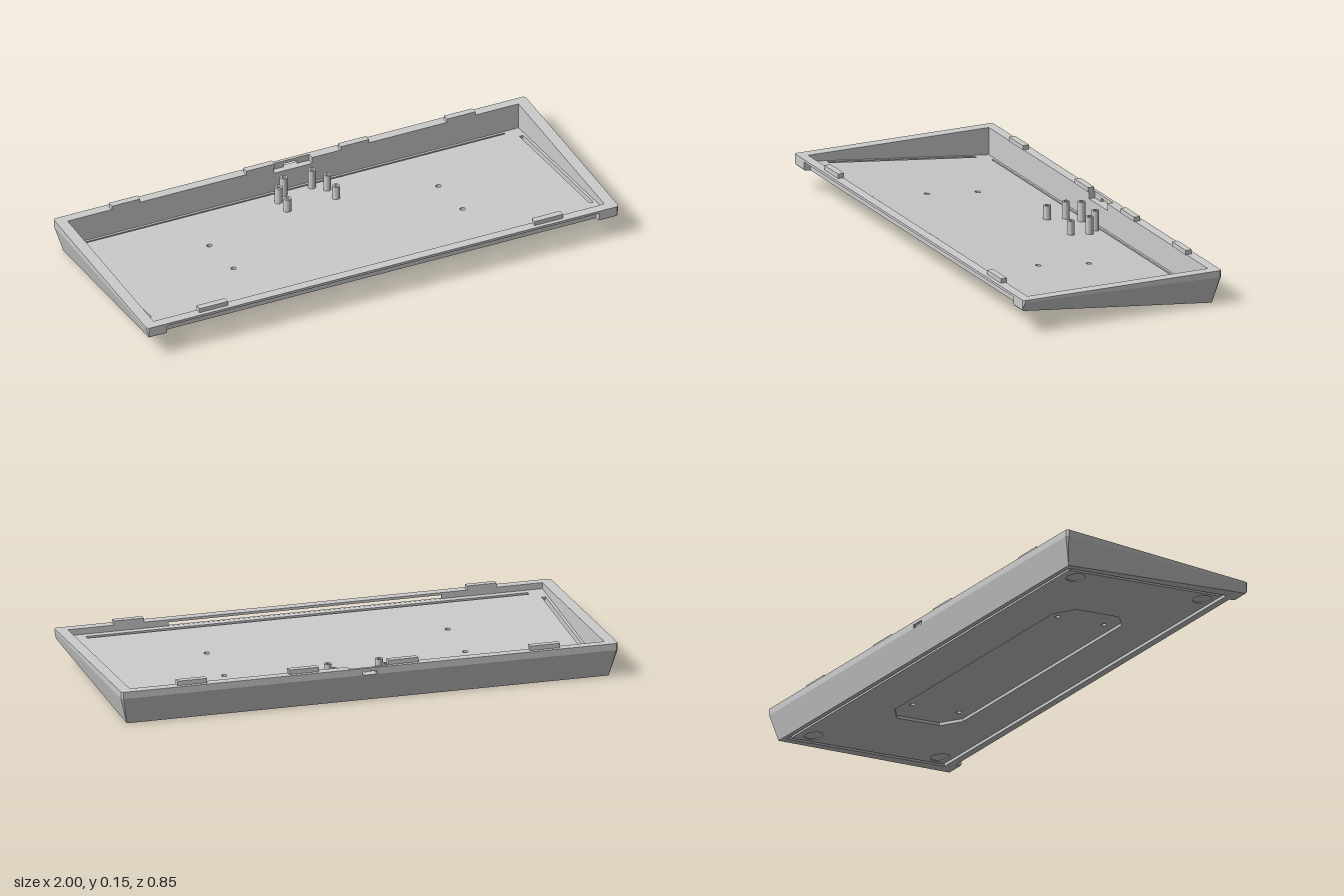
import * as THREE from 'three';
import { ConvexGeometry } from 'three/addons/geometries/ConvexGeometry.js';

const TOP = 0.135, IN_X = 0.955, IN_Z = 0.385, OUT_Z = 0.423, LAYER = 0.012;
const SLOPE = 0.111;
const under = (z) => SLOPE * (z + 0.395); // height of the sloping underside

export function createModel() {
  const model = new THREE.Group();
  const caseGrey = new THREE.MeshStandardMaterial({ color: 0xcccccc });
  caseGrey.name = 'caseGrey';

  const add = (name, geometry) => {
    const mesh = new THREE.Mesh(geometry, caseGrey);
    mesh.name = name;
    model.add(mesh);
    return mesh;
  };
  const hull = (name, pts) => add(name, new ConvexGeometry(pts.map((p) => new THREE.Vector3(...p))));
  // Convex [z, y] profile carried from x0 to x1
  const block = (name, x0, x1, profile) =>
    hull(name, [x0, x1].flatMap((x) => profile.map(([z, y]) => [x, y, z])));
  const rect = (z0, z1, y0, y1) => [[z0, y0], [z1, y0], [z1, y1], [z0, y1]];

  // Plan outlines in x and z, counter-clockwise seen from above
  const polygon = (pts) => new THREE.Shape(pts.map(([x, z]) => new THREE.Vector2(x, -z)));
  const box = (x0, x1, z0, z1) => polygon([[x0, z1], [x1, z1], [x1, z0], [x0, z0]]);
  const circle = (x, z, r) => new THREE.Shape().absarc(x, -z, r, 0, Math.PI * 2);

  // Plate sheared to follow the sloping underside
  const plate = (name, shape, holes, lift) => {
    shape.holes = holes;
    const g = new THREE.ExtrudeGeometry(shape, { depth: LAYER, bevelEnabled: false, curveSegments: 12 });
    g.rotateX(-Math.PI / 2);
    const p = g.attributes.position;
    for (let i = 0; i < p.count; i++) p.setY(i, p.getY(i) + lift + under(p.getZ(i)));
    g.computeVertexNormals();
    add(name, g);
  };

  // Screw holes, and foot pockets with shallow floors
  const screwHoles = [];
  const footPockets = [];
  for (const sx of [-1, 1]) for (const sz of [-1, 1]) {
    screwHoles.push(circle(sx * 0.485, sz * 0.108, 0.011));
    footPockets.push(circle(sx * 0.875, sz * 0.295, 0.038));
    plate('footPocketFloor', circle(sx * 0.875, sz * 0.295, 0.038), [], 0.004);
  }

  // Floor: upper plate with four light slots
  plate('floor', box(-IN_X, IN_X, -IN_Z, IN_Z), [
    ...screwHoles,
    box(-0.89, 0.89, -0.374, -0.366),
    box(-0.89, 0.89, 0.347, 0.363),
    box(-0.944, -0.928, -0.32, 0.31),
    box(0.928, 0.944, -0.32, 0.31),
  ], LAYER);

  // Underside: border, groove, then a panel with a long recess
  plate('undersideBorder', box(-IN_X, IN_X, -IN_Z, IN_Z), [box(-0.944, 0.944, -0.375, 0.363)], 0);
  const recess = polygon([
    [-0.6, -0.1], [-0.6, 0.1], [-0.53, 0.16], [0.53, 0.16],
    [0.6, 0.1], [0.6, -0.1], [0.53, -0.16], [-0.53, -0.16],
  ]);
  plate('undersidePanel', box(-0.928, 0.928, -0.364, 0.347), [recess, ...footPockets], 0);

  // Side walls: upright rim band over an inward-leaning face, corners eased
  for (const s of [-1, 1]) {
    hull(s > 0 ? 'leftWall' : 'rightWall', [
      [1, TOP, 0.415], [1, TOP, -0.415], [1, 0.127, 0.415], [1, 0.108, -0.415],
      [0.992, TOP, OUT_Z], [0.992, TOP, -OUT_Z], [0.992, 0.108, -OUT_Z],
      [0.992, 0.097, OUT_Z], [0.991, 0.091, 0.419], [0.989, under(0.41), 0.41], [0.97, 0, -0.395],
      [IN_X, TOP, OUT_Z], [IN_X, TOP, -OUT_Z], [IN_X, 0.097, OUT_Z], [IN_X, 0.091, 0.419],
      [IN_X, under(0.41), 0.41], [IN_X, 0, -0.395], [IN_X, 0.108, -OUT_Z],
    ].map(([x, y, z]) => [s * x, y, z]));
  }

  // Back wall, thinned around a central port opening
  const backFoot = [[-OUT_Z, 0.108], [-0.395, 0], [-IN_Z, under(-IN_Z)], [-IN_Z, 0.108]];
  for (const s of [-1, 1]) {
    block('backWall', s * 0.08, s * IN_X, [...backFoot, [-OUT_Z, TOP], [-IN_Z, TOP]]);
    block('portSide', s * 0.028, s * 0.08, rect(-OUT_Z, -0.41, 0.108, TOP));
  }
  block('portSill', -0.08, 0.08, backFoot);
  block('portLintel', -0.028, 0.028, rect(-OUT_Z, -0.41, 0.122, TOP));

  // Front wall: corner blocks, top lip, and a set-back web with a long window
  const frontFoot = (z) => [[IN_Z, under(IN_Z)], [z, under(z)]];
  for (const s of [-1, 1]) {
    block('frontCorner', s * 0.915, s * IN_X,
      [...frontFoot(0.41), [0.419, 0.091], [OUT_Z, 0.097], [OUT_Z, TOP], [IN_Z, TOP]]);
    block('frontWeb', s * 0.55, s * 0.915, [...frontFoot(0.395), [0.395, 0.125], [IN_Z, 0.125]]);
  }
  block('windowSill', -0.55, 0.55, [...frontFoot(0.395), [0.395, 0.111], [IN_Z, 0.111]]);
  block('frontLip', -0.915, 0.915, rect(IN_Z, OUT_Z, 0.125, TOP));

  // Locating tabs along the rim
  const tab = (x, z) => {
    add('rimTab', new THREE.BoxGeometry(0.12, 0.018, 0.026)).position.set(x, TOP + 0.009, z);
  };
  for (const x of [-0.71, -0.14, 0.26, 0.71]) {
    tab(x, -0.394);
    if (Math.abs(x) > 0.5) tab(x, 0.394);
  }

  // Hollow standoffs for the circuit board
  for (const [x, z, top] of [[0.06, -0.343, 0.11], [0.103, -0.297, 0.105], [0.103, -0.217, 0.1]]) {
    const base = under(z) + LAYER;
    const g = new THREE.LatheGeometry([
      [0.015, base], [0.015, top], [0.007, top], [0.007, top - 0.03], [0, top - 0.03],
    ].map(([r, y]) => new THREE.Vector2(r, y)), 16).toNonIndexed();
    g.computeVertexNormals();
    for (const s of [-1, 1]) add('standoff', g).position.set(s * x, 0, z);
  }
  return model;
}
